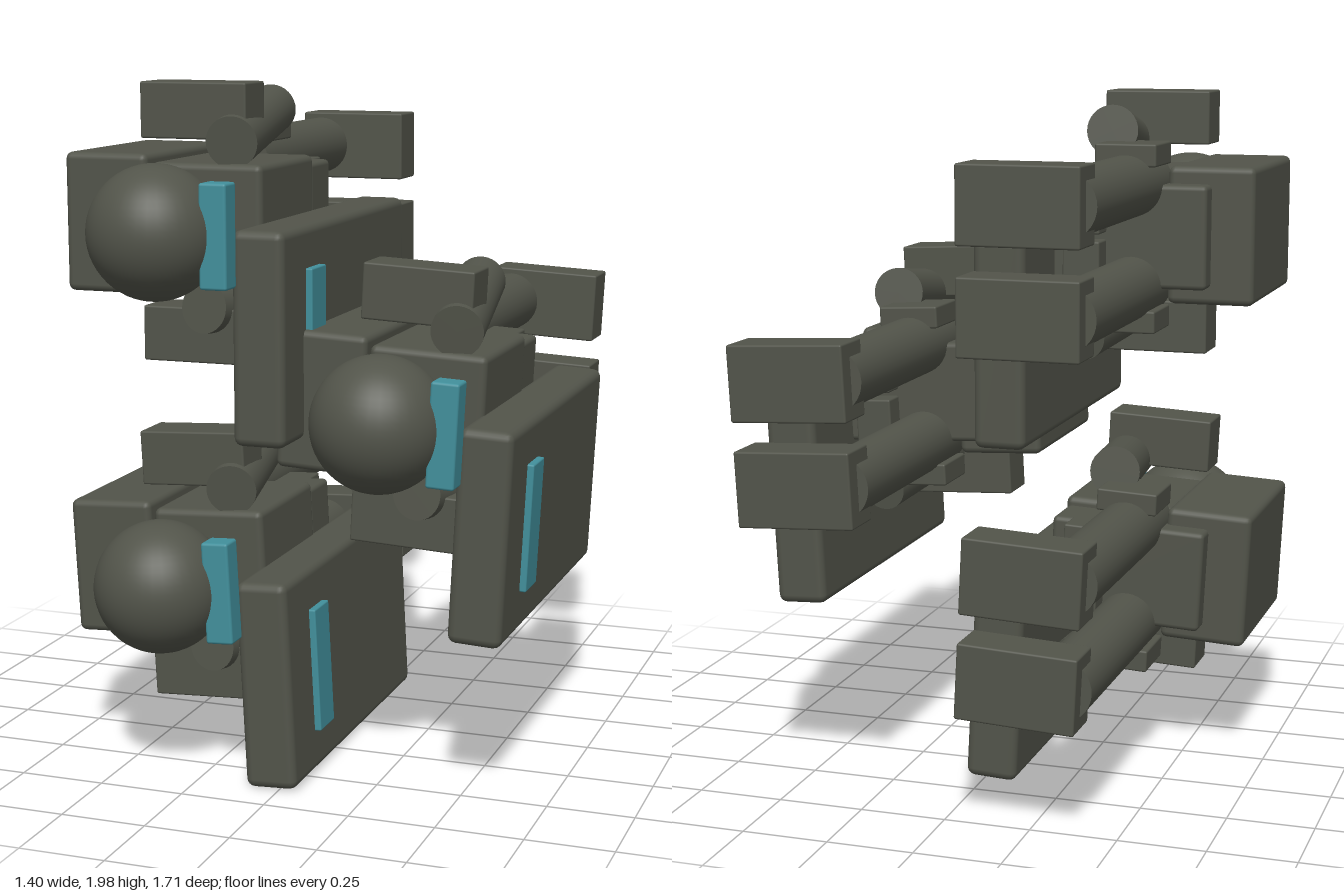
import * as THREE from 'three';
import { RoundedBoxGeometry } from 'three/addons/geometries/RoundedBoxGeometry.js';

const armour = new THREE.MeshStandardMaterial({ color: 0x52544a });
armour.name = 'olive armour';
const glow = new THREE.MeshStandardMaterial({ color: 0x42909c });
glow.name = 'teal light';

// Box given by its [min, max] ranges; r rounds the edges
function box(parent, name, [x0, x1], [y0, y1], [z0, z1], r = 0, mat = armour) {
  const s = [x1 - x0, y1 - y0, z1 - z0];
  const geo = r ? new RoundedBoxGeometry(...s, 2, r) : new THREE.BoxGeometry(...s);
  const mesh = new THREE.Mesh(geo, mat);
  mesh.position.set((x0 + x1) / 2, (y0 + y1) / 2, (z0 + z1) / 2);
  mesh.name = name;
  parent.add(mesh);
}

// Cylinder between two points
function limb(parent, name, a, b, r) {
  const p = new THREE.Vector3(...a), q = new THREE.Vector3(...b);
  const mesh = new THREE.Mesh(new THREE.CylinderGeometry(r, r, p.distanceTo(q), 32), armour);
  mesh.position.copy(p).add(q).multiplyScalar(0.5);
  mesh.quaternion.setFromUnitVectors(new THREE.Vector3(0, 1, 0), q.sub(p).normalize());
  mesh.name = name;
  parent.add(mesh);
}

// Flying trooper: head towards +z, chest towards +x, sides along y
function createTrooper() {
  const g = new THREE.Group();
  g.name = 'trooper';

  const head = new THREE.Mesh(new THREE.SphereGeometry(0.19, 40, 28), armour);
  head.position.z = 0.66;
  head.name = 'head';
  g.add(head);
  box(g, 'visor', [0.155, 0.235], [-0.145, 0.145], [0.645, 0.72], 0.008, glow);

  box(g, 'torso', [-0.105, 0.235], [-0.175, 0.175], [0.035, 0.46], 0.02);
  box(g, 'pelvis', [-0.235, 0.228], [-0.15, 0.15], [-0.125, 0.04], 0.015);
  box(g, 'backpack', [-0.36, -0.105], [-0.2, 0.2], [-0.06, 0.485], 0.02);

  // Mirrored limbs and armour plates
  for (const s of [1, -1]) {
    const span = (a, b) => (s > 0 ? [a, b] : [-b, -a]);
    box(g, 'shoulder', [-0.145, 0.178], span(0.24, 0.4), [0.285, 0.43], 0.006);
    limb(g, 'arm', [0.098 + s * 0.045, s * 0.235, 0.45], [0.098 - s * 0.045, s * 0.3, -0.09], 0.074);
    box(g, 'sideSkirt', [-0.105, 0.075], span(0.205, 0.27), [-0.2, -0.02], 0.006);
    box(g, 'skirtMount', [-0.06, 0.03], span(0.13, 0.21), [-0.065, -0.015]);
    box(g, 'frontSkirt', [0.06, 0.17], span(0.01, 0.15), [-0.2, -0.1], 0.006);
    limb(g, 'leg', [-0.015, s * 0.148, 0], [-0.015, s * 0.148, -0.8], 0.09);
    box(g, 'foot', [-0.075, 0.265], span(0.04, 0.255), [-0.855, -0.715], 0.006);
  }

  // Shield carried across the chest
  box(g, 'shield', [0.216, 0.369], [-0.59, 0.012], [-0.42, 0.645], 0.025);
  box(g, 'shieldLight', [0.36, 0.388], [-0.47, -0.107], [0.35, 0.465], 0.005, glow);
  return g;
}

export function createModel() {
  const model = new THREE.Group();
  model.name = 'trooperFormation';
  // Position and roll of each trooper in the formation
  for (const [x, y, roll] of [[-0.343, 1.6, 0], [-0.343, 0.595, 0.05], [0.307, 1.107, -0.05]]) {
    const t = createTrooper();
    t.position.set(x, y, 0);
    t.rotation.z = roll;
    model.add(t);
  }
  return model;
}
